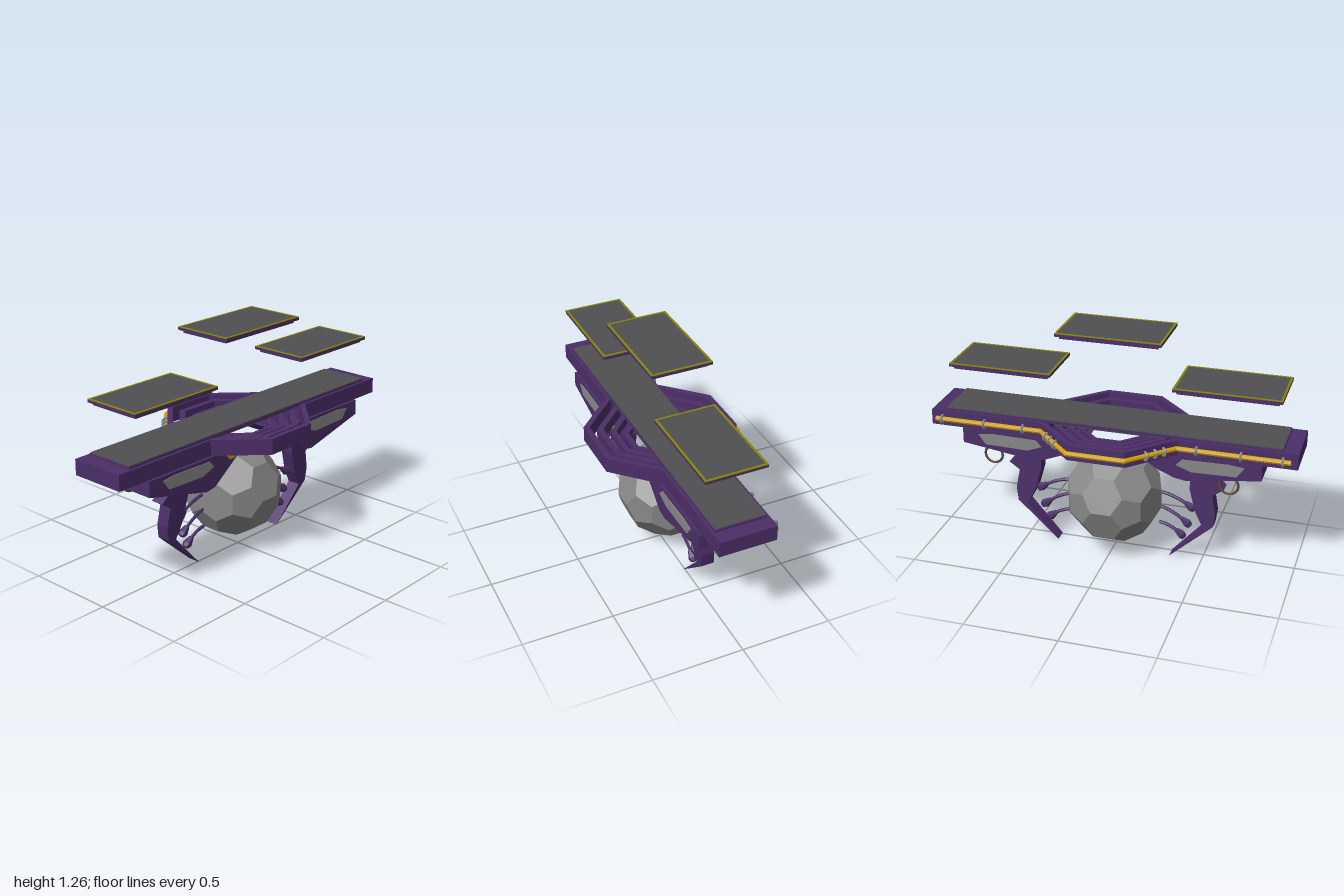
import * as THREE from 'three';
import { ConvexGeometry } from 'three/addons/geometries/ConvexGeometry.js';

const mat = (name, color, flatShading = true) => {
  const m = new THREE.MeshStandardMaterial({ color, flatShading, side: THREE.DoubleSide });
  m.name = name;
  return m;
};

export function createModel() {
  const purple = mat('purple', 0x4b2e68), slate = mat('slate', 0x505053), grey = mat('grey', 0x888888);
  const yellow = mat('yellow', 0xd0a00c), olive = mat('olive', 0x85850a), bronze = mat('bronze', 0x5c4a3a);
  const root = new THREE.Group();
  const add = (name, geo, material, x = 0, y = 0, z = 0) => {
    const m = new THREE.Mesh(geo, material);
    m.name = name;
    m.position.set(x, y, z);
    root.add(m);
    return m;
  };
  const vecs = pts => pts.map(p => new THREE.Vector2(p[0], p[1]));
  // Box given by its limits
  const box = (name, material, x0, x1, y0, y1, z0, z1) =>
    add(name, new THREE.BoxGeometry(x1 - x0, y1 - y0, z1 - z0), material, (x0 + x1) / 2, (y0 + y1) / 2, (z0 + z1) / 2);
  // Plan outline (x, z) with an optional hole, pulled down from the top
  const plan = (outline, hole, y0, y1) => {
    const s = new THREE.Shape(vecs(outline));
    if (hole) s.holes.push(new THREE.Path(vecs(hole)));
    return new THREE.ExtrudeGeometry(s, { depth: y1 - y0, bevelEnabled: false }).rotateX(Math.PI / 2).translate(0, y1, 0);
  };
  // Side outline (z, y), mirrored to either end, pulled across x
  const profile = (pts, s, x0, x1) =>
    new THREE.ExtrudeGeometry(new THREE.Shape(vecs(pts.map(p => [p[0] * s, p[1]]))), { depth: x1 - x0, bevelEnabled: false })
      .rotateY(-Math.PI / 2).translate(x1, 0, 0);
  const octagon = a => {
    const h = a * Math.tan(Math.PI / 8);
    return [[a, -h], [a, h], [h, a], [-h, a], [-a, h], [-a, -h], [-h, -a], [h, -a]];
  };

  // Long beam that widens into an octagonal frame
  const half = [[0.155, 1], [0.155, 0.375], [0.375, 0.155]];
  const outline = [
    ...half, ...[...half].reverse().map(([x, z]) => [x, -z]),
    ...half.map(([x, z]) => [-x, -z]), ...[...half].reverse().map(([x, z]) => [-x, z]),
  ];
  add('beam', plan(outline, octagon(0.345), 0.67, 0.755), purple);

  // Nested octagonal rings stepping down to the middle
  [[0.31, 0.278, 0.74], [0.243, 0.215, 0.725], [0.18, 0.155, 0.71]].forEach(([a, b, top]) =>
    add('octagonRing', plan(octagon(a), octagon(b), 0.675, top), purple));

  // Deck on top of the beam
  box('deckBase', purple, -0.14, 0.14, 0.75, 0.766, -0.92, 0.92);
  box('deckTop', slate, -0.137, 0.137, 0.766, 0.771, -0.917, 0.917);
  box('deckUnderside', slate, -0.14, 0.14, 0.745, 0.75, -0.3, 0.3);

  // Three floating panels with edge frames
  [[1.235, -0.002], [1.003, 0.622], [1.003, -0.598]].forEach(([y, z]) => {
    const rect = (x0, x1, d) => [[x0, z - d], [x1, z - d], [x1, z + d], [x0, z + d]];
    box('panelBase', purple, -0.14, 0.155, y, y + 0.016, z - 0.262, z + 0.262);
    box('panelBody', purple, -0.157, 0.176, y + 0.016, y + 0.03, z - 0.282, z + 0.282);
    add('panelFrame', plan(rect(-0.157, 0.176, 0.282), rect(-0.145, 0.164, 0.27), y + 0.03, y + 0.034), olive);
    box('panelTop', slate, -0.145, 0.164, y + 0.03, y + 0.033, z - 0.27, z + 0.27);
  });

  // Faceted ball: a truncated icosahedron
  const f = (1 + Math.sqrt(5)) / 2, pts = [];
  for (const [a, b, c] of [[0, 1, 3 * f], [1, 2 + f, 2 * f], [f, 2, 2 * f + 1]])
    for (let k = 0; k < 8; k++) {
      if (a === 0 && k & 1) continue;
      const p = [k & 1 ? -a : a, k & 2 ? -b : b, k & 4 ? -c : c];
      for (let r = 0; r < 3; r++) pts.push(new THREE.Vector3(p[r], p[(r + 1) % 3], p[(r + 2) % 3]).setLength(0.27));
    }
  add('ball', new ConvexGeometry(pts), grey, -0.037, 0.335, 0);

  // Pipe along the right side, held by clamps
  const pipe = [[-0.165, 0.965], [-0.165, 0.37], [-0.382, 0.155], [-0.382, -0.155], [-0.165, -0.37], [-0.165, -0.965]]
    .map(([x, z]) => new THREE.Vector3(x, 0.71, z));
  const up = new THREE.Vector3(0, 0, 1);
  for (let i = 0; i < pipe.length - 1; i++) {
    const a = pipe[i], b = pipe[i + 1];
    add('pipe', new THREE.TubeGeometry(new THREE.LineCurve3(a, b), 1, 0.014, 8), yellow);
    add('pipeJoint', new THREE.SphereGeometry(0.014, 8, 6), yellow, b.x, b.y, b.z);
    const dir = b.clone().sub(a).normalize();
    const stops = [[0.07, 0.43, 0.82], [0.25, 0.42, 0.6], [], [0.75, 0.58, 0.4], [0.17, 0.54, 0.95]][i];
    stops.forEach(t => {
      const p = a.clone().lerp(b, t);
      add('pipeClamp', new THREE.TorusGeometry(0.022, 0.007, 6, 12), grey, p.x, p.y, p.z).quaternion.setFromUnitVectors(up, dir);
    });
  }

  for (const s of [1, -1]) {
    // Hull under each end of the beam, its lower edge dropping toward the left
    const hull = profile([[0.82, 0.67], [0.82, 0.585], [0.42, 0.51], [0.36, 0.52], [0.26, 0.58], [0.13, 0.67]], s, -0.16, 0.17);
    const hp = hull.attributes.position;
    for (let i = 0; i < hp.count; i++) if (hp.getY(i) < 0.55) hp.setY(i, hp.getY(i) - 0.12 * hp.getX(i));
    hull.computeVertexNormals();
    add('hull', hull, purple);

    // Side plates and yellow caps on the hull
    const plate = [[0.73, 0.645], [0.65, 0.655], [0.4, 0.65], [0.37, 0.615], [0.45, 0.585], [0.69, 0.59]];
    const cap = [[0.275, 0.665], [0.215, 0.665], [0.195, 0.645], [0.215, 0.62], [0.25, 0.62], [0.275, 0.645]];
    for (const x of [-0.164, 0.169]) {
      add('hullSidePlate', profile(plate, s, x, x + 0.005), grey);
      add('hullCap', profile(cap, s, x, x + 0.005), yellow);
    }

    // Small nozzle and hanging hoop
    add('nozzle', new THREE.CylinderGeometry(0.028, 0.028, 0.08, 8), slate, 0, 0.555, s * 0.305).rotation.x = -s * 0.55;
    add('hoop', new THREE.TorusGeometry(0.05, 0.007, 6, 16), bronze, -0.147, 0.53, s * 0.65).rotation.y = Math.PI / 2;

    // Claw leg, leaning slightly to the right toward its tip
    const claw = profile([[0.605, 0.44], [0.54, 0.49], [0.42, 0.53], [0.42, 0.42], [0.455, 0.29], [0.493, 0.21],
      [0.32, 0.005], [0.555, 0.215], [0.565, 0.29], [0.545, 0.4]].map(([z, y]) => (z === 0.493 ? [0.5, 0.205] : [z, y])), s, -0.037, 0.037);
    // Tip side of the claw kept thin by following the outer edge
    const cp = claw.attributes.position;
    for (let i = 0; i < cp.count; i++) cp.setX(i, cp.getX(i) - 0.027 + 0.05 * cp.getY(i));
    claw.computeVertexNormals();
    add('claw', claw, purple);

    // Three thin feelers with pointed pods
    [[0.26, 0.37, 0.42, 0.305], [0.25, 0.285, 0.4, 0.205], [0.25, 0.185, 0.37, 0.13]].forEach(([z0, y0, z1, y1]) => {
      const a = new THREE.Vector3(-0.02, y0, s * z0), b = new THREE.Vector3(-0.02, y1, s * z1);
      const m = a.clone().lerp(b, 0.5);
      m.y += 0.022;
      add('feeler', new THREE.TubeGeometry(new THREE.QuadraticBezierCurve3(a, m, b), 8, 0.009, 6), purple);
      const pod = add('feelerPod', new THREE.LatheGeometry(vecs([[0, -0.045], [0.014, -0.03], [0.026, 0.01], [0.018, 0.03], [0, 0.035]]), 6), purple, b.x, b.y, b.z);
      pod.quaternion.setFromUnitVectors(new THREE.Vector3(0, 1, 0), b.clone().sub(m).normalize());
    });
  }
  return root;
}
